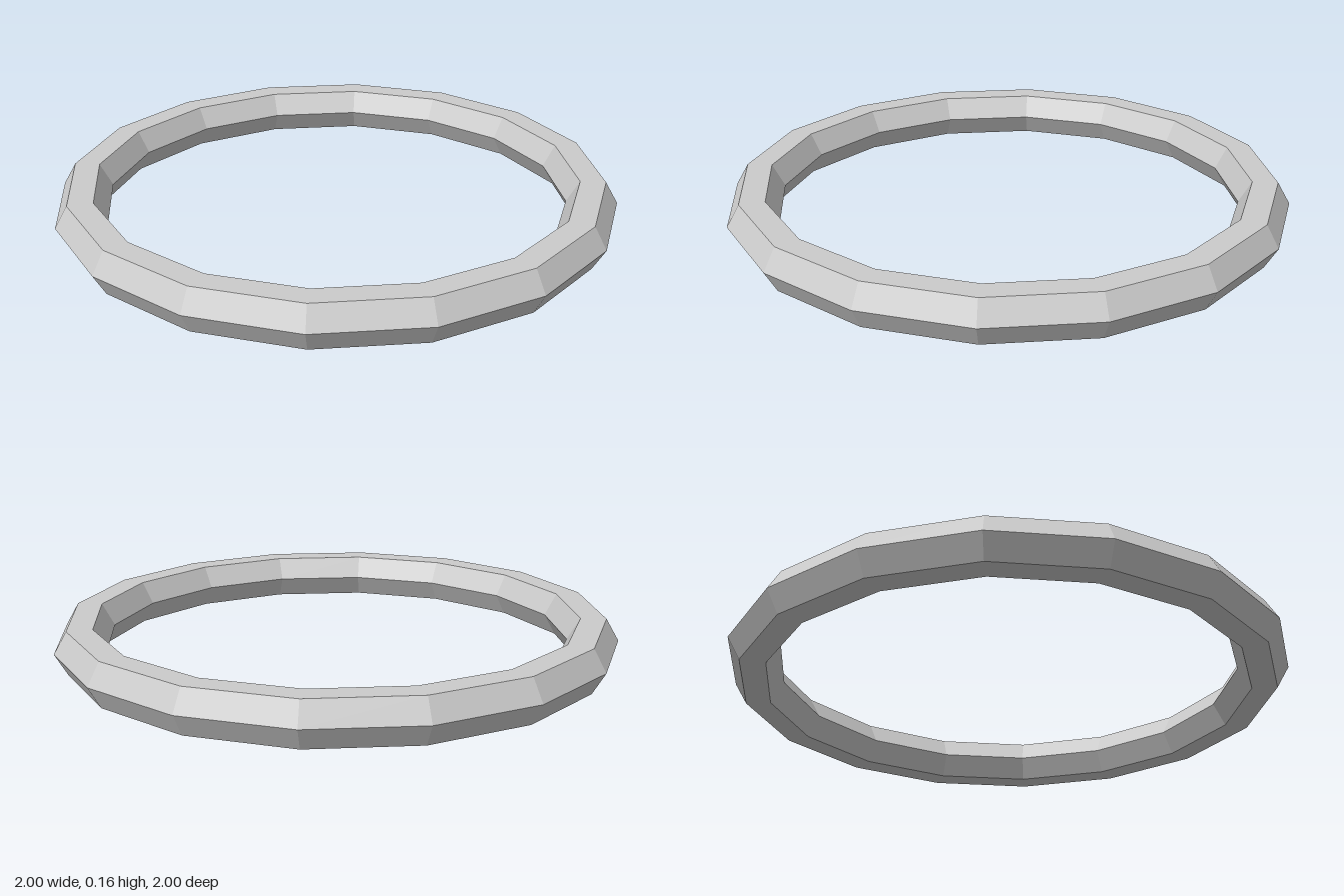
import * as THREE from 'three';

export function createModel() {
  const group = new THREE.Group();
  group.name = 'ringModel';

  // Faceted ring: hexagonal section swept around 16 sides, lying flat
  const tube = 0.09;
  const geometry = new THREE.TorusGeometry(1 - tube, tube, 6, 16);
  geometry.rotateX(-Math.PI / 2);
  geometry.translate(0, tube * Math.sin(Math.PI / 3), 0);

  const ring = new THREE.Mesh(
    geometry,
    new THREE.MeshStandardMaterial({ color: 0xcccccc, flatShading: true })
  );
  ring.name = 'ring';
  group.add(ring);
  return group;
}
